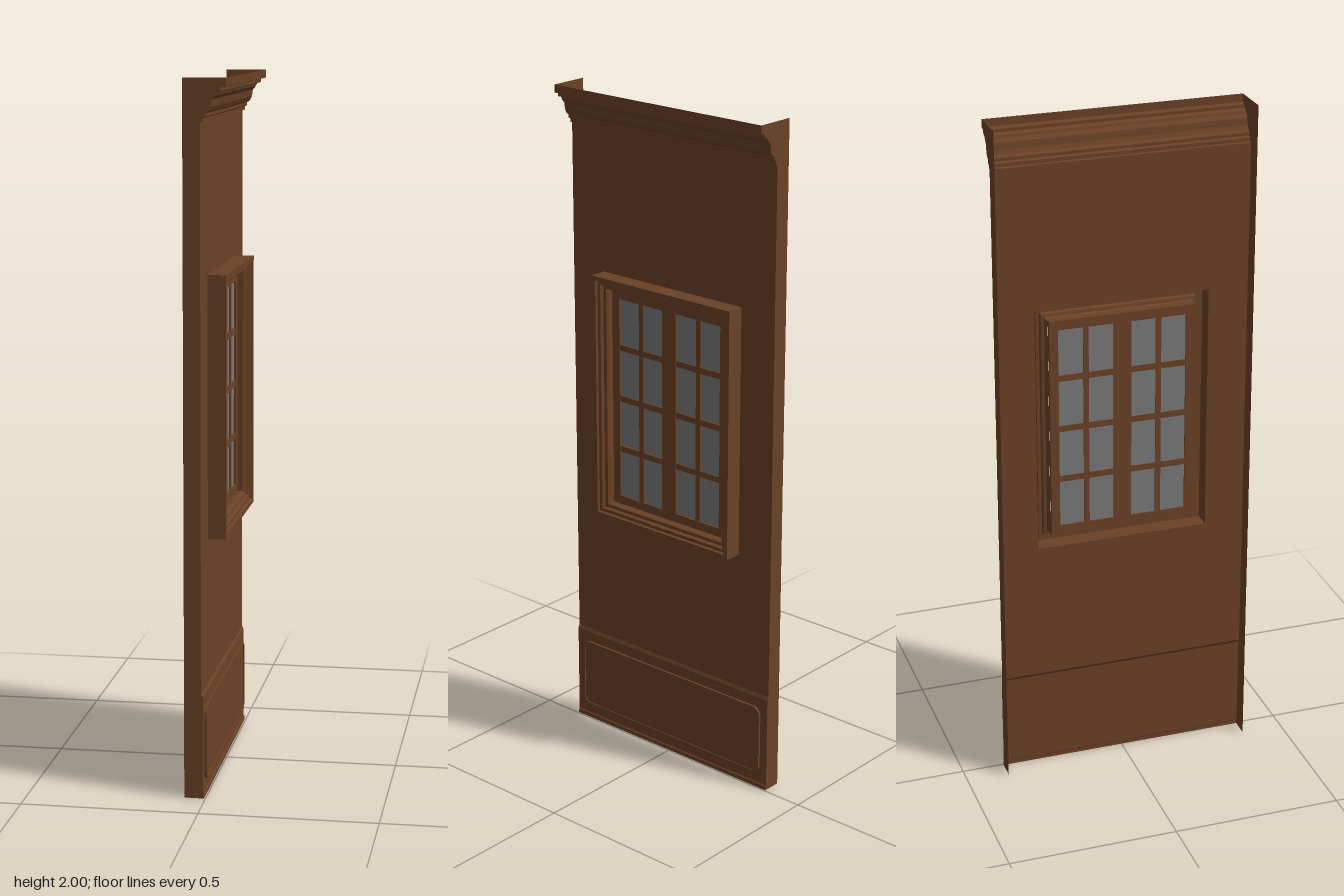
import * as THREE from 'three';

const HALF = 0.375;   // half the panel's width
const BACK = -0.06;   // open rear edge
const FACE = -0.012;  // plane of the wall face

const wood = new THREE.MeshStandardMaterial({ color: 0x6b4226, side: THREE.DoubleSide });
wood.name = 'brownWood';
const glass = new THREE.MeshStandardMaterial({ color: 0x7b7b7b, side: THREE.DoubleSide });
glass.name = 'greyGlass';

// Moulding profiles as [x, y], from bottom to top
const plinthProfile = [[-0.004, 0], [-0.004, 0.012], [-0.007, 0.015], [-0.007, 0.292], [FACE, 0.302]];
const corniceProfile = [
  [FACE, 1.88], [-0.005, 1.882], [-0.005, 1.892], [0.002, 1.896], [0.002, 1.905], [0.01, 1.91],
  [0.016, 1.922], [0.019, 1.942], [0.028, 1.952], [0.031, 1.96], [0.043, 1.964], [0.043, 1.973],
  [0.058, 1.977], [0.058, 2],
];

// Flat-shaded faces from a list of four-cornered quads
function quads(list) {
  const pos = [];
  for (const [a, b, c, d] of list) pos.push(...a, ...b, ...c, ...a, ...c, ...d);
  const g = new THREE.BufferGeometry();
  g.setAttribute('position', new THREE.Float32BufferAttribute(pos, 3));
  g.computeVertexNormals();
  return g;
}

// A profile swept across the full width
function sweep(profile) {
  return quads(profile.slice(1).map(([x1, y1], i) => {
    const [x0, y0] = profile[i];
    return [[x0, y0, HALF], [x0, y0, -HALF], [x1, y1, -HALF], [x1, y1, HALF]];
  }));
}

// A profile of [inset, x] run round a rectangle with mitred corners
function mitredFrame(halfW, y0, y1, profile) {
  const loops = profile.map(([d, x]) => {
    const w = halfW - d;
    return [[x, y0 + d, w], [x, y0 + d, -w], [x, y1 - d, -w], [x, y1 - d, w]];
  });
  const list = [];
  for (let i = 0; i + 1 < loops.length; i++) {
    for (let k = 0; k < 4; k++) {
      const n = (k + 1) % 4;
      list.push([loops[i][k], loops[i][n], loops[i + 1][n], loops[i + 1][k]]);
    }
  }
  return quads(list);
}

function rect(x0, y0, x1, y1, Type = THREE.Shape) {
  return new Type([[x0, y0], [x1, y0], [x1, y1], [x0, y1]].map(p => new THREE.Vector2(...p)));
}

function roundedRect(w, y0, y1, r, Type = THREE.Shape) {
  const s = new Type();
  s.absarc(w - r, y0 + r, r, -Math.PI / 2, 0);
  s.absarc(w - r, y1 - r, r, 0, Math.PI / 2);
  s.absarc(-w + r, y1 - r, r, Math.PI / 2, Math.PI);
  s.absarc(-w + r, y0 + r, r, Math.PI, Math.PI * 1.5);
  s.closePath();
  return s;
}

// Turn a shape drawn in x-y so that it faces +x
const faceOut = (g, x) => g.rotateY(Math.PI / 2).translate(x, 0, 0);
const slab = (shape, depth, x) =>
  faceOut(new THREE.ExtrudeGeometry(shape, { depth, bevelEnabled: false, curveSegments: 6 }), x);

export function createModel() {
  const model = new THREE.Group();
  model.name = 'wallPanel';
  const add = (name, geometry, material = wood, parent = model) => {
    const m = new THREE.Mesh(geometry, material);
    m.name = name;
    parent.add(m);
    return m;
  };

  // Wall face with the window opening
  const wall = rect(-HALF, 0.302, HALF, 1.88);
  wall.holes.push(rect(-0.257, 0.718, 0.257, 1.46, THREE.Path));
  add('wallFace', faceOut(new THREE.ShapeGeometry(wall), FACE));
  add('plinth', sweep(plinthProfile));
  add('cornice', sweep(corniceProfile));

  // End caps follow the whole silhouette; back, top and bottom stay open
  const outline = [[BACK, 0], ...plinthProfile, ...corniceProfile, [BACK, 2]];
  const endShape = new THREE.Shape(outline.map(p => new THREE.Vector2(...p)));
  for (const side of [1, -1]) {
    const g = new THREE.ShapeGeometry(endShape);
    if (side < 0) { // reverse the winding so that this end faces outward
      const idx = g.index.array;
      for (let i = 0; i < idx.length; i += 3) [idx[i], idx[i + 1]] = [idx[i + 1], idx[i]];
      g.computeVertexNormals();
    }
    add(side > 0 ? 'leftEnd' : 'rightEnd', g.translate(0, 0, side * HALF));
  }

  // Raised field with a rounded bead on the plinth
  add('plinthField', slab(roundedRect(0.343, 0.052, 0.254, 0.02), 0.004, -0.007));
  const bead = roundedRect(0.35, 0.045, 0.261, 0.026);
  bead.holes.push(roundedRect(0.343, 0.052, 0.254, 0.02, THREE.Path));
  add('plinthBead', slab(bead, 0.007, -0.007));

  // Projecting window surround, stepping back to the sashes
  add('windowSurround', mitredFrame(0.257, 0.718, 1.46, [
    [0, FACE], [0, 0.04], [0.013, 0.04], [0.015, 0.032], [0.025, 0.032],
    [0.028, 0.022], [0.037, 0.02], [0.04, 0.012], [0.04, -0.004],
  ]));

  // A pair of four-row sashes
  const y0 = 0.784, y1 = 1.393;
  for (const side of [1, -1]) {
    const sash = new THREE.Group();
    sash.name = side > 0 ? 'leftSash' : 'rightSash';
    model.add(sash);
    const leaf = rect(-0.108, 0.756, 0.108, 1.422);
    leaf.holes.push(rect(-0.082, y0, 0.082, y1, THREE.Path));
    add('sashFrame', slab(leaf, 0.012, -0.014), wood, sash);
    add('uprightBar', new THREE.BoxGeometry(0.008, y1 - y0, 0.016).translate(-0.008, (y0 + y1) / 2, 0), wood, sash);
    for (const y of [0.932, 1.089, 1.245]) {
      add('crossBar', new THREE.BoxGeometry(0.008, 0.018, 0.164).translate(-0.008, y, 0), wood, sash);
    }
    add('glass', faceOut(new THREE.ShapeGeometry(rect(-0.082, y0, 0.082, y1)), -0.009), glass, sash);
    sash.position.z = side * 0.108;
  }
  return model;
}
